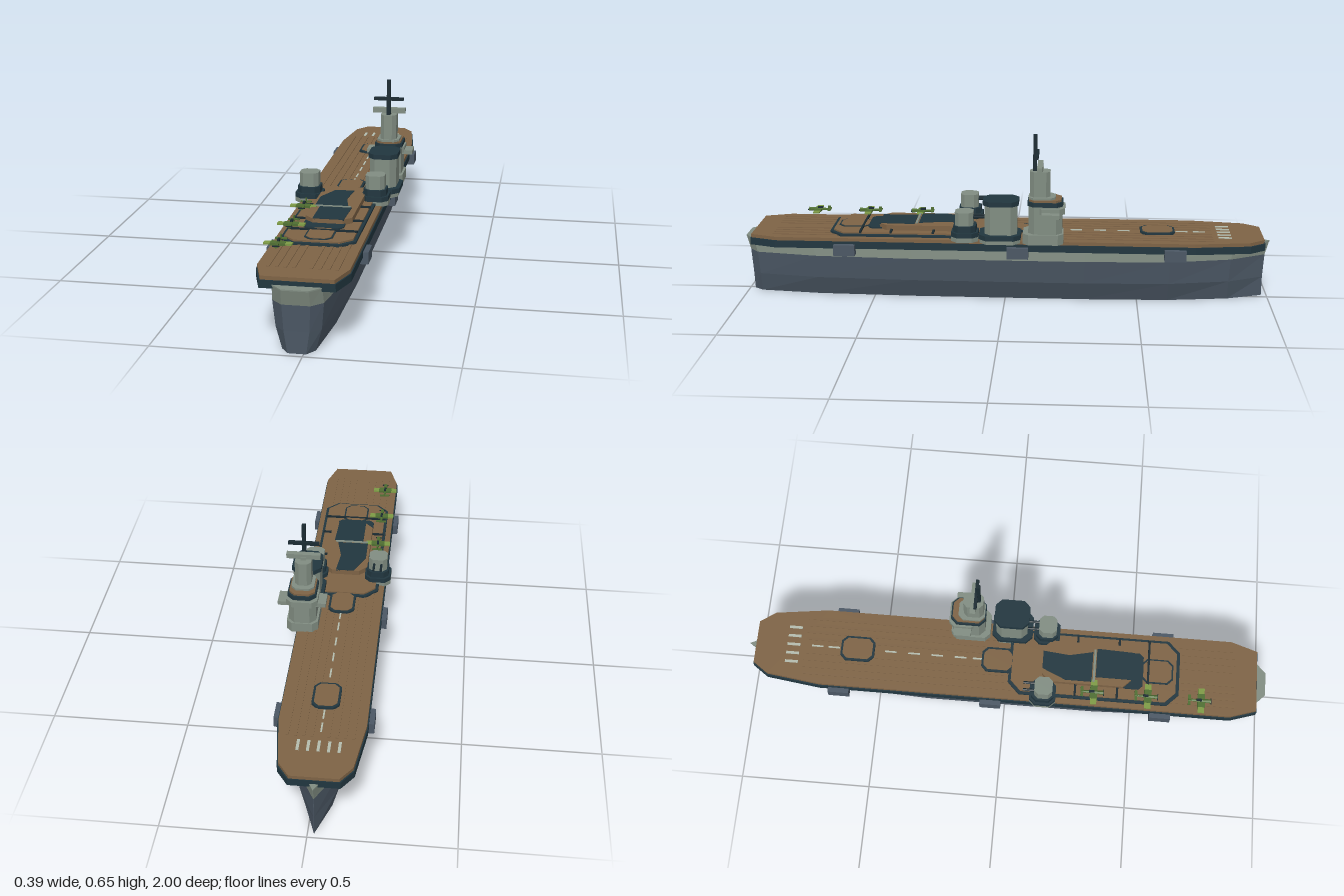
import * as THREE from 'three';

const mat = (name, color, side = THREE.FrontSide) => {
  const m = new THREE.MeshStandardMaterial({ color, side, flatShading: true });
  m.name = name;
  return m;
};

export function createModel() {
  const root = new THREE.Group();
  root.name = 'aircraftCarrier';
  const M = {
    hull: mat('slate hull', 0x4b5764, THREE.DoubleSide),
    grey: mat('grey green', 0x818d82, THREE.DoubleSide),
    dark: mat('dark teal', 0x21363f),
    wood: mat('deck brown', 0x7e6345),
    pale: mat('pale marking', 0xb4bcae),
    mast: mat('mast black', 0x1a2a31),
    olive: mat('olive green', 0x4f6e31),
    lime: mat('light green', 0x7d9a45),
  };
  const CX = -0.022; // ship centreline

  const add = (name, geo, m, parent = root) => {
    const mesh = new THREE.Mesh(geo, m);
    mesh.name = name;
    parent.add(mesh);
    return mesh;
  };
  // box given by its extents
  const box = (name, m, x0, x1, y0, y1, z0, z1, parent = root) => {
    const g = new THREE.BoxGeometry(x1 - x0, y1 - y0, z1 - z0);
    g.translate((x0 + x1) / 2, (y0 + y1) / 2, (z0 + z1) / 2);
    return add(name, g, m, parent);
  };
  // plan outline [x, z] raised from y0 to y1
  const slab = (name, m, pts, y0, y1, parent = root) => {
    const shape = new THREE.Shape(pts.map(([x, z]) => new THREE.Vector2(x, -z)));
    const g = new THREE.ExtrudeGeometry(shape, { depth: y1 - y0, bevelEnabled: false });
    g.rotateX(-Math.PI / 2);
    g.translate(0, y0, 0);
    return add(name, g, m, parent);
  };
  // rectangle with cut corners
  const oct = (x0, x1, z0, z1, c) => [
    [x0 + c, z0], [x1 - c, z0], [x1, z0 + c], [x1, z1 - c],
    [x1 - c, z1], [x0 + c, z1], [x0, z1 - c], [x0, z0 + c]];
  const mirror = half => [
    ...half.map(([w, z]) => [CX + w, z]),
    ...half.slice().reverse().map(([w, z]) => [CX - w, z])];

  // Hull: stations of half width and z, scaled at each level; open at the keel
  const stations = [[0.046, 0.985], [0.083, 0.95], [0.118, 0.72], [0.133, 0.35],
    [0.133, -0.3], [0.118, -0.62], [0.072, -0.85], [0.001, -0.985]];
  const levels = [[0, 0.66, 0.995], [0.075, 0.9, 0.995], [0.165, 1, 1], [0.22, 0.97, 1.015]];
  const ring = ([y, w, l]) => mirror(stations.map(([a, z]) => [a * w, z * l]))
    .map(([x, z]) => [x, y, z]);
  const loft = rows => {
    const pos = [];
    for (let r = 0; r < rows.length - 1; r++) {
      const a = ring(rows[r]), b = ring(rows[r + 1]), n = a.length;
      for (let i = 0; i < n; i++) {
        const j = (i + 1) % n;
        pos.push(...a[i], ...b[j], ...a[j], ...a[i], ...b[i], ...b[j]);
      }
    }
    // reverse the corner order so faces look outwards
    const out = [];
    for (let i = 0; i < pos.length; i += 9) {
      out.push(...pos.slice(i, i + 3), ...pos.slice(i + 6, i + 9), ...pos.slice(i + 3, i + 6));
    }
    const g = new THREE.BufferGeometry();
    g.setAttribute('position', new THREE.Float32BufferAttribute(out, 3));
    g.computeVertexNormals();
    return g;
  };
  add('lowerHull', loft(levels.slice(0, 3)), M.hull);
  add('upperHullBand', loft(levels.slice(2)), M.grey);
  slab('hullTop', M.grey, ring(levels[3]).map(([x, , z]) => [x, z]), 0.217, 0.221);

  // Flight deck
  const deckHalf = [[0.123, 0.965], [0.155, 0.865], [0.155, -0.71], [0.128, -0.915], [0.087, -0.973]];
  slab('deckEdge', M.dark, mirror(deckHalf), 0.208, 0.235);
  slab('flightDeck', M.wood, mirror(deckHalf.map(([w, z]) => [w - 0.004, z * 0.997])), 0.235, 0.248);
  for (let i = -4; i <= 4; i++) {
    if (i) box('deckPlank', M.wood, CX + i * 0.028 - 0.005, CX + i * 0.028 + 0.005, 0.247, 0.2505, -0.78, 0.88);
  }

  // Deck markings
  for (let i = -2; i <= 2; i++) {
    box('bowStripe', M.pale, CX + i * 0.035 - 0.005, CX + i * 0.035 + 0.005, 0.247, 0.251, -0.85, -0.8);
  }
  for (const z of [-0.755, -0.69, -0.47, -0.38, -0.29, -0.2, -0.13]) {
    box('centreDash', M.pale, CX - 0.003, CX + 0.003, 0.247, 0.251, z, z + 0.045);
  }

  // Elevators
  const elevator = (z0, z1, y) => {
    slab('elevatorRim', M.dark, oct(CX - 0.049, CX + 0.049, z0, z1, 0.02), y, y + 0.009);
    slab('elevatorTop', M.wood, oct(CX - 0.041, CX + 0.041, z0 + 0.008, z1 - 0.008, 0.017), y, y + 0.011);
  };
  elevator(-0.64, -0.51, 0.248);
  elevator(-0.095, 0.03, 0.248);

  // Raised aft platform with centre block
  slab('platformRim', M.dark, oct(-0.152, 0.107, 0.012, 0.665, 0.045), 0.247, 0.256);
  slab('platformTop', M.wood, oct(-0.141, 0.096, 0.023, 0.652, 0.04), 0.25, 0.262);
  slab('aftElevatorRim', M.dark, oct(CX - 0.049, CX + 0.049, 0.52, 0.64, 0.02), 0.26, 0.264);
  slab('aftElevatorTop', M.wood, oct(CX - 0.043, CX + 0.043, 0.526, 0.634, 0.018), 0.26, 0.266);
  slab('centreBlock', M.wood, oct(-0.1, 0.065, 0.14, 0.48, 0.03), 0.261, 0.282);
  slab('darkPanelForward', M.dark, [[-0.05, 0.14], [0.02, 0.14], [0.01, 0.24], [0.03, 0.33], [-0.09, 0.33], [-0.09, 0.23]], 0.279, 0.284);
  slab('darkPanelAft', M.dark, [[-0.07, 0.345], [0.045, 0.345], [0.04, 0.48], [-0.07, 0.48]], 0.279, 0.284);
  slab('darkPanelLow', M.dark, oct(-0.1, 0.045, 0.44, 0.525, 0.015), 0.261, 0.267);
  box('lightBar', M.grey, -0.09, 0.04, 0.27, 0.286, 0.334, 0.342);
  for (const z of [0.27, 0.43, 0.545]) {
    box('arrestingWire', M.mast, -0.145, 0.1, 0.261, 0.268, z - 0.004, z + 0.004);
  }

  // Side sponsons
  for (const z of [-0.635, -0.05, 0.6]) {
    for (const s of [-1, 1]) {
      const x = CX + s * 0.158;
      box('sideSponson', M.hull, x - 0.0155, x + 0.0155, 0.184, 0.226, z - 0.04, z + 0.04);
    }
  }

  // Gun mounts, barrels towards the bow
  for (const x of [-0.145, 0.101]) {
    const g = new THREE.Group();
    g.name = 'gunMount';
    g.position.set(x, 0, 0.148);
    root.add(g);
    slab('mountFoot', M.grey, oct(-0.05, 0.05, -0.05, 0.05, 0.022), 0.245, 0.262, g);
    slab('mountBase', M.dark, oct(-0.05, 0.05, -0.05, 0.05, 0.022), 0.262, 0.28, g);
    slab('mountRing', M.dark, oct(-0.042, 0.042, -0.042, 0.042, 0.018), 0.28, 0.304, g);
    slab('turret', M.grey, oct(-0.035, 0.035, -0.032, 0.036, 0.015), 0.304, 0.355, g);
    for (const s of [-0.014, 0.014]) {
      const b = new THREE.CylinderGeometry(0.005, 0.005, 0.06, 6);
      b.rotateX(Math.PI / 2);
      b.translate(s, 0.335, -0.045);
      add('gunBarrel', b, M.mast, g);
    }
  }

  // Funnel
  slab('funnelFoot', M.grey, oct(0.052, 0.172, -0.06, 0.09, 0.025), 0.246, 0.262);
  slab('funnelBase', M.dark, oct(0.05, 0.178, -0.062, 0.093, 0.025), 0.262, 0.28);
  slab('funnel', M.grey, oct(0.063, 0.163, -0.048, 0.072, 0.022), 0.28, 0.39);
  slab('funnelCap', M.dark, oct(0.058, 0.168, -0.054, 0.078, 0.024), 0.39, 0.408);

  // Bridge tower
  slab('bridgeBase', M.grey, oct(0.052, 0.168, -0.22, -0.07, 0.02), 0.246, 0.285);
  slab('bridge', M.grey, oct(0.06, 0.16, -0.215, -0.09, 0.022), 0.285, 0.39);
  box('bridgeWing', M.grey, 0.022, 0.199, 0.355, 0.371, -0.205, -0.14);
  slab('bridgeLookout', M.grey, oct(0.052, 0.168, -0.225, -0.12, 0.02), 0.362, 0.385);
  slab('bridgeWindowBand', M.dark, oct(0.058, 0.163, -0.218, -0.087, 0.022), 0.39, 0.406);
  slab('bridgeRoof', M.wood, oct(0.063, 0.157, -0.212, -0.092, 0.02), 0.406, 0.414);
  slab('towerCollar', M.grey, oct(0.068, 0.152, -0.19, -0.09, 0.018), 0.414, 0.422);
  slab('tower', M.grey, oct(0.08, 0.14, -0.17, -0.095, 0.015), 0.422, 0.517);
  box('radarBar', M.grey, 0.048, 0.172, 0.521, 0.54, -0.142, -0.122);
  box('radarPost', M.grey, 0.1, 0.12, 0.515, 0.53, -0.145, -0.12);
  box('mast', M.mast, 0.103, 0.117, 0.515, 0.652, -0.12, -0.106);
  box('yard', M.mast, 0.053, 0.166, 0.571, 0.583, -0.127, -0.115);

  // Parked aircraft, noses aft
  for (const z of [0.335, 0.54, 0.742]) {
    const p = new THREE.Group();
    p.name = 'aircraft';
    p.position.set(-0.13, 0.283, z);
    root.add(p);
    const body = new THREE.CylinderGeometry(0.008, 0.004, 0.085, 6);
    body.rotateX(Math.PI / 2);
    add('fuselage', body, M.olive, p);
    box('wing', M.lime, -0.048, 0.048, -0.005, 0.001, -0.006, 0.018, p);
    box('wingRoot', M.olive, -0.026, 0.026, -0.006, 0.002, -0.008, 0.02, p);
    box('tailplane', M.olive, -0.02, 0.02, -0.002, 0.002, -0.044, -0.034, p);
    box('fin', M.olive, -0.002, 0.002, 0, 0.014, -0.044, -0.032, p);
    box('canopy', M.mast, -0.004, 0.004, 0.004, 0.011, -0.012, 0.008, p);
    box('propeller', M.mast, -0.012, 0.012, -0.002, 0.002, 0.042, 0.045, p);
  }

  return root;
}
